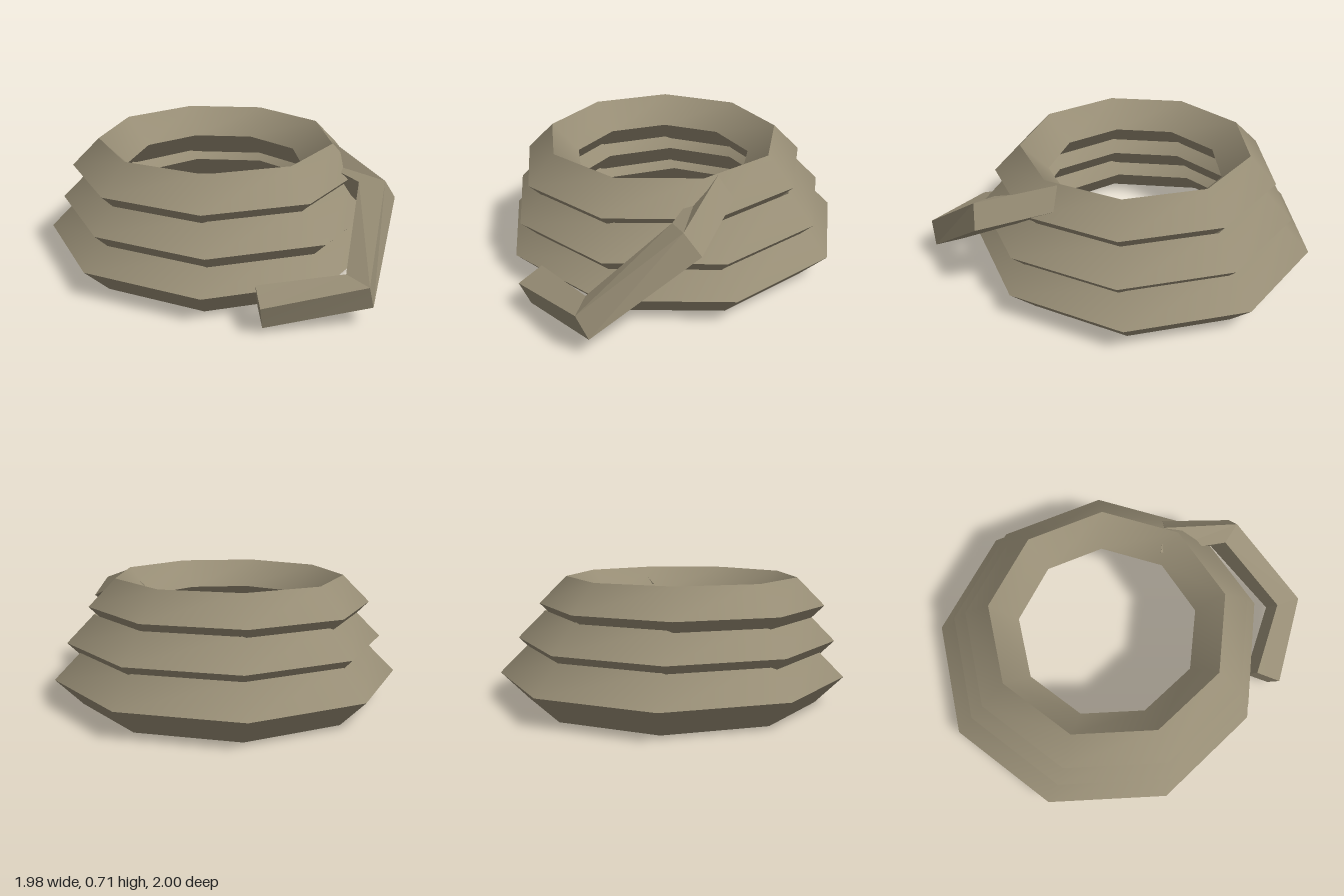
import * as THREE from 'three';
import { toCreasedNormals } from 'three/addons/utils/BufferGeometryUtils.js';

// Square-section tube through a list of four-cornered cross-sections, capped at both ends
function loftSquare(sections) {
  const index = [];
  const quad = (a, b, c, d) => index.push(a, b, c, a, c, d);
  for (let i = 0; i < sections.length - 1; i++) {
    for (let k = 0; k < 4; k++) {
      const n = (k + 1) % 4;
      quad(i * 4 + k, i * 4 + 4 + k, i * 4 + 4 + n, i * 4 + n);
    }
  }
  const e = (sections.length - 1) * 4;
  quad(0, 1, 2, 3);
  quad(e, e + 3, e + 2, e + 1);
  const geo = new THREE.BufferGeometry();
  geo.setAttribute('position', new THREE.Float32BufferAttribute(sections.flat(2), 3));
  geo.setIndex(index);
  return toCreasedNormals(geo, 0.2);
}

export function createModel() {
  const group = new THREE.Group();
  group.name = 'ropeCoil';
  const rope = new THREE.MeshStandardMaterial({ color: 0x978d75 });
  rope.name = 'rope tan';

  // Stacked loops: name, ring radius, centre x, y, z
  const loops = [
    ['bottomLoop', 0.842, -0.053, 0.156, -0.02],
    ['middleLoop', 0.766, -0.03, 0.355, 0.015],
    ['topLoop', 0.671, -0.05, 0.555, 0.043],
  ];
  for (const [name, radius, x, y, z] of loops) {
    const geo = new THREE.TorusGeometry(radius, 0.156, 4, 9).rotateX(-Math.PI / 2);
    const mesh = new THREE.Mesh(toCreasedNormals(geo, 0.75), rope);
    mesh.name = name;
    mesh.position.set(x, y, z);
    group.add(mesh);
  }

  // Loose end: corners run outer top, outer bottom, inner bottom, inner top
  const tail = new THREE.Mesh(loftSquare([
    [[0.6, 0.705, -0.04], [0.68, 0.6, -0.1], [0.56, 0.53, -0.04], [0.5, 0.61, 0.015]],
    [[0.93, 0.6, 0.265], [0.985, 0.485, 0.19], [0.8, 0.43, 0.19], [0.795, 0.585, 0.275]],
    [[0.918, 0.245, 0.8], [0.94, 0.11, 0.745], [0.8, 0.13, 0.665], [0.795, 0.262, 0.72]],
    [[0.425, 0.165, 0.995], [0.425, 0.03, 0.94], [0.37, 0.075, 0.805], [0.37, 0.215, 0.86]],
  ]), rope);
  tail.name = 'looseEnd';
  group.add(tail);

  return group;
}
